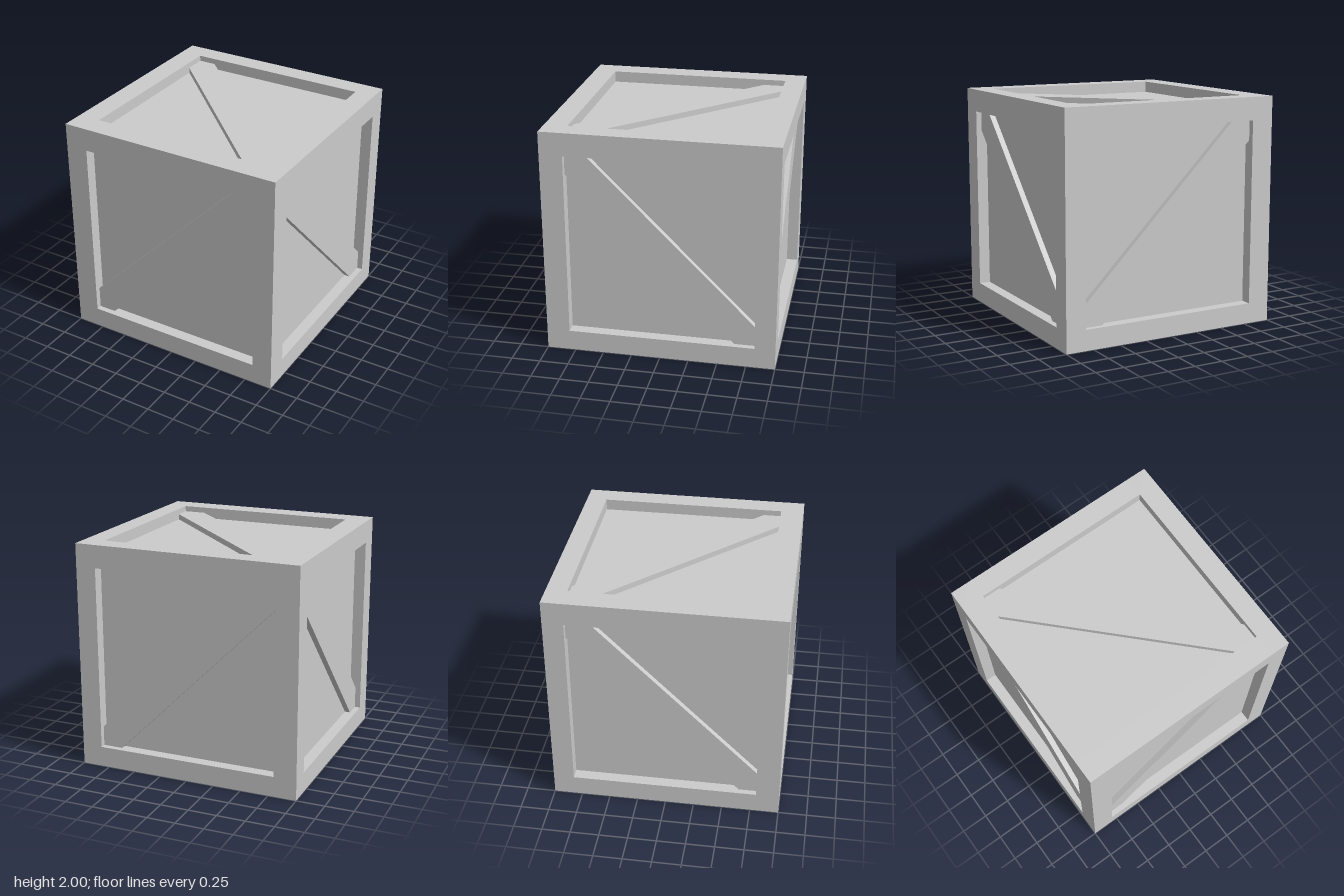
import * as THREE from 'three';

const material = new THREE.MeshStandardMaterial({ color: 0xcccccc, flatShading: true });

// Box given by its [min, max] extent on each axis
function block(name, x, y, z) {
  const geometry = new THREE.BoxGeometry(x[1] - x[0], y[1] - y[0], z[1] - z[0]);
  const mesh = new THREE.Mesh(geometry, material);
  mesh.name = name;
  mesh.position.set((x[0] + x[1]) / 2, (y[0] + y[1]) / 2, (z[0] + z[1]) / 2);
  return mesh;
}

// Diagonal plank: a band along v = u whose ends are cut to fit the frame corners
function braceGeometry() {
  const end = 0.85, cut = end - 0.177;
  const outline = [[-end, -end], [-cut, -end], [end, cut], [end, end], [cut, end], [-end, -cut]];
  const shape = new THREE.Shape(outline.map(([u, v]) => new THREE.Vector2(u, v)));
  const geometry = new THREE.ExtrudeGeometry(shape, { depth: 0.1, bevelEnabled: false });
  return geometry.translate(0, 0, 0.85);
}

export function createModel() {
  const crate = new THREE.Group();
  crate.name = 'crate';

  // Recessed side panels
  crate.add(block('panels', [-0.9, 0.9], [0.1, 1.9], [-0.9, 0.9]));

  // Edge frame: opening limits, then the beams on either side of them
  const openX = [-0.8, 0.82], openZ = [-0.82, 0.8];
  const sidesX = [[-1, openX[0]], [openX[1], 1]];
  const sidesY = [[0, 0.18], [1.8, 2]];
  const sidesZ = [[-1, openZ[0]], [openZ[1], 1]];
  const frame = new THREE.Group();
  frame.name = 'frame';
  for (const x of sidesX) for (const z of sidesZ) frame.add(block('cornerPost', x, [0, 2], z));
  for (const y of sidesY) {
    for (const z of sidesZ) frame.add(block('crossRail', openX, y, z));
    for (const x of sidesX) frame.add(block('sideRail', x, y, openZ));
  }
  crate.add(frame);

  // One diagonal brace per face
  const q = Math.PI / 2;
  const plank = braceGeometry();
  const faces = {
    frontBrace: [0, 0, 0],
    backBrace: [0, 2 * q, 0],
    leftBrace: [0, q, q],
    rightBrace: [0, -q, q],
    topBrace: [-q, 0, q],
    bottomBrace: [q, 0, q],
  };
  for (const [name, rotation] of Object.entries(faces)) {
    const brace = new THREE.Mesh(plank, material);
    brace.name = name;
    brace.rotation.set(...rotation);
    brace.position.y = 1;
    crate.add(brace);
  }
  return crate;
}
